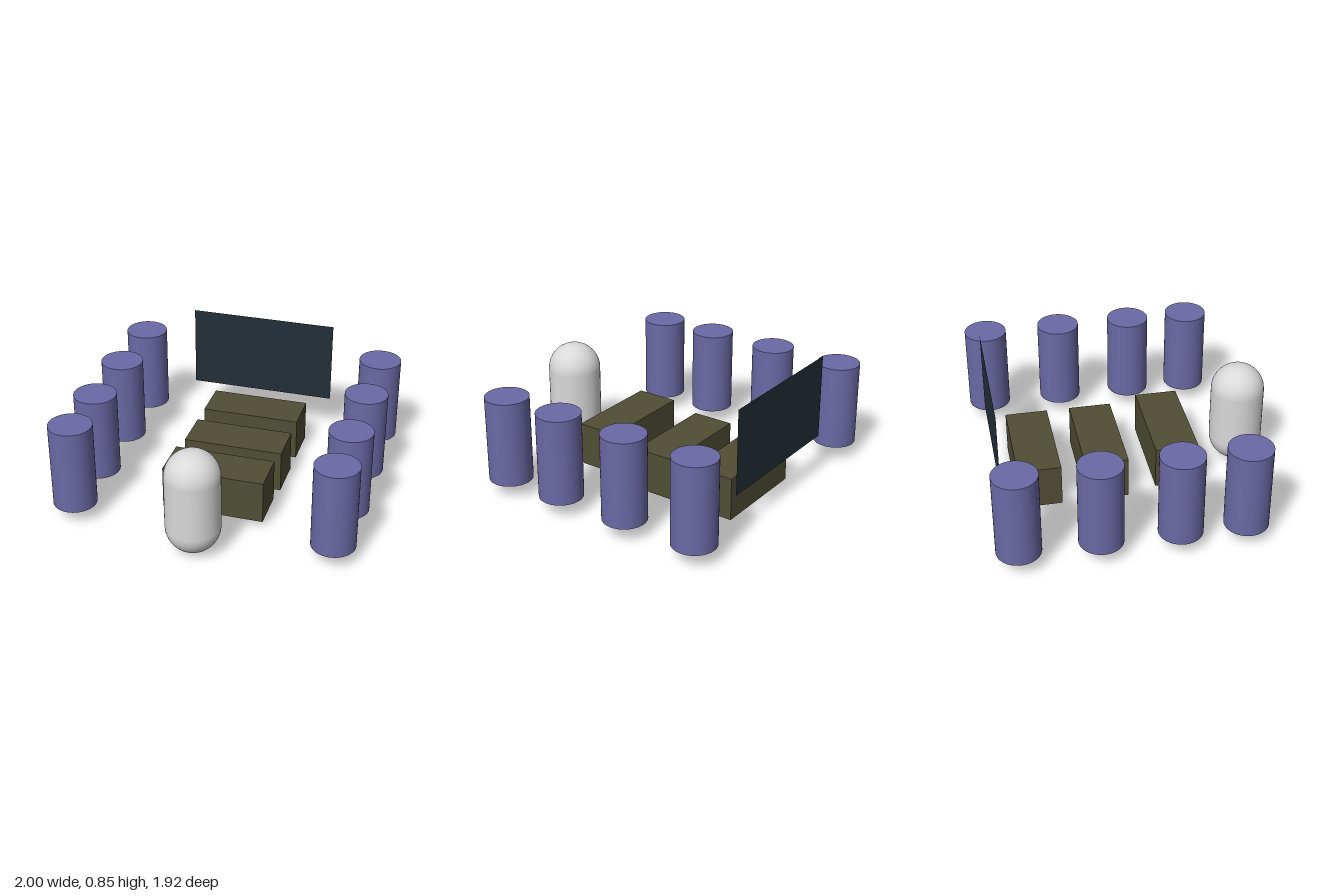
import * as THREE from 'three';

export function createModel() {
  const group = new THREE.Group();
  const mat = (name, color) => {
    const m = new THREE.MeshStandardMaterial({ color });
    m.name = name;
    return m;
  };
  const purple = mat('purple', 0x6b69a5);
  const olive = mat('olive', 0x504e34);
  const slate = mat('slate', 0x232f38);
  const white = mat('white', 0xd9d9d9);
  slate.side = THREE.DoubleSide;

  const add = (name, geometry, material, x, y, z) => {
    const mesh = new THREE.Mesh(geometry, material);
    mesh.name = name;
    mesh.position.set(x, y, z);
    group.add(mesh);
  };

  // Two rows of four floating pillars
  const pillar = new THREE.CylinderGeometry(0.143, 0.143, 0.572, 48);
  for (const z of [0.62, 0.197, -0.305, -0.817]) {
    add('leftPillar', pillar, purple, 0.857, 0.388, z);
    add('rightPillar', pillar, purple, -0.857, 0.388, z);
  }

  // Three benches down the middle, the front one raised slightly
  const bench = new THREE.BoxGeometry(0.673, 0.287, 0.285);
  for (const [y, z] of [[0.193, 0.298], [0.1435, -0.168], [0.1435, -0.609]]) {
    add('bench', bench, olive, 0.021, y, z);
  }

  // Thin board at the back
  add('backBoard', new THREE.PlaneGeometry(1.012, 0.568), slate, -0.002, 0.563, -0.878);

  // Standing capsule at the front
  add('capsule', new THREE.CapsuleGeometry(0.177, 0.354, 16, 40), white, 0, 0.364, 0.779);

  return group;
}
